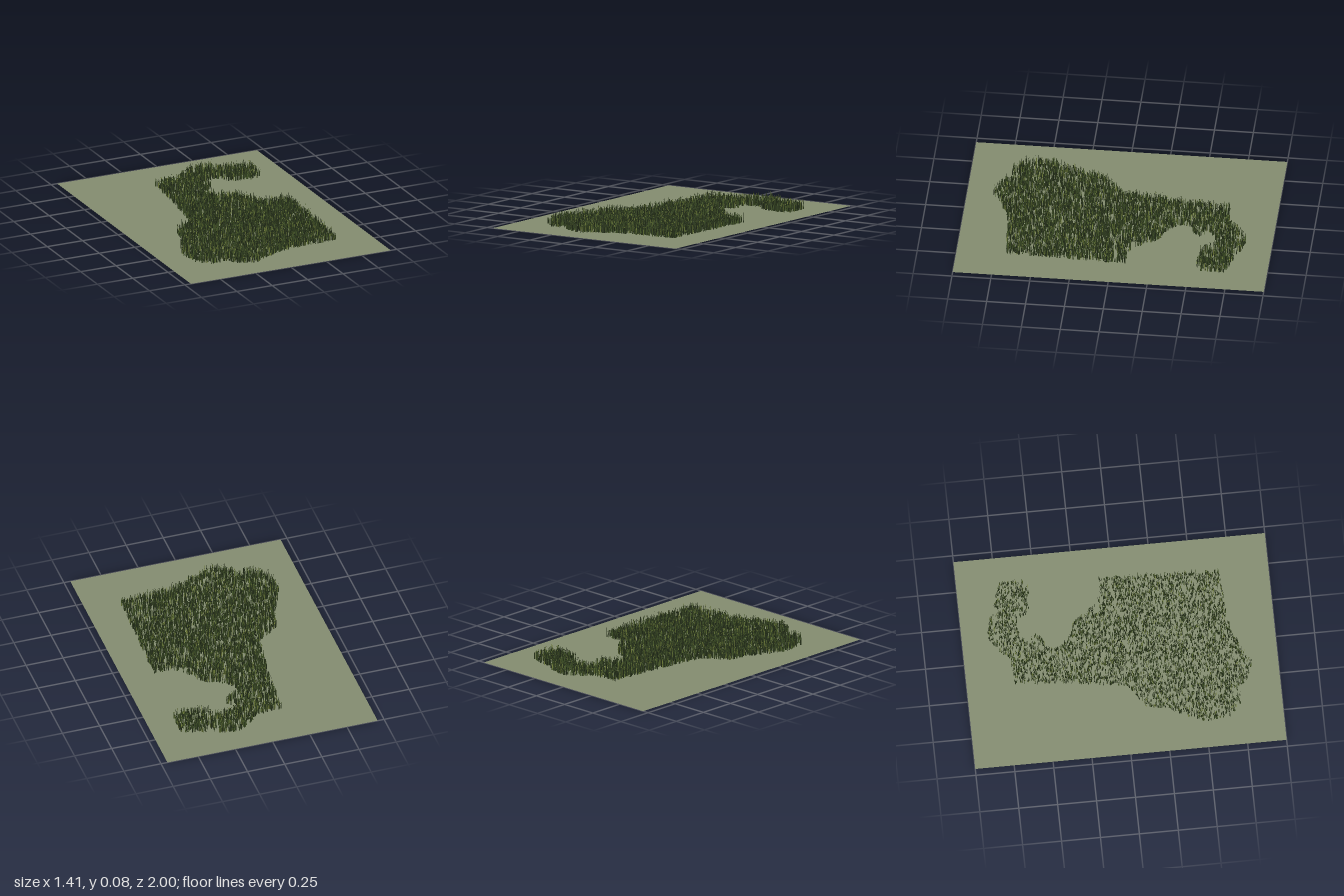
import * as THREE from 'three';

// Outline of the grassy patch as x, z pairs
const OUTLINE = [
  [-0.16, -0.69], [0, -0.7], [0.06, -0.76], [0.16, -0.83], [0.25, -0.83], [0.33, -0.78], [0.43, -0.76],
  [0.53, -0.72], [0.53, -0.54], [0.35, -0.55], [0.3, -0.58], [0.28, -0.64], [0.16, -0.63], [0.11, -0.59],
  [0.16, -0.52], [0.13, -0.49], [0.06, -0.46], [0.05, -0.38], [0.12, -0.32], [0.23, -0.27], [0.28, -0.18],
  [0.38, -0.08], [0.5, -0.09], [0.49, 0.2], [0.475, 0.68], [0.2, 0.7], [0.04, 0.72], [-0.04, 0.77],
  [-0.16, 0.83], [-0.28, 0.79], [-0.32, 0.73], [-0.42, 0.74], [-0.51, 0.66], [-0.535, 0.5], [-0.48, 0.37],
  [-0.43, 0.28], [-0.39, 0.12], [-0.24, 0.02], [-0.21, -0.2], [-0.18, -0.4],
];

function seeded(seed) {
  return () => {
    seed = (seed * 1664525 + 1013904223) % 4294967296;
    return seed / 4294967296;
  };
}

function insideOutline(x, z) {
  let inside = false;
  OUTLINE.forEach(([ax, az], i) => {
    const [bx, bz] = OUTLINE[(i + 1) % OUTLINE.length];
    if ((az > z) !== (bz > z) && x < ax + ((z - az) / (bz - az)) * (bx - ax)) inside = !inside;
  });
  return inside;
}

// One tapered, bent blade: two pairs of points and a tip
function addBlade(target, x, z, angle, height, width, lean) {
  const c = Math.cos(angle), s = Math.sin(angle);
  const first = target.positions.length / 3;
  const put = (side, up, bend) =>
    target.positions.push(x + c * side - s * bend, up, z + s * side + c * bend);
  put(-width / 2, 0, 0);
  put(width / 2, 0, 0);
  put(-width * 0.36, height * 0.55, lean * 0.3);
  put(width * 0.36, height * 0.55, lean * 0.3);
  put(0, height, lean);
  for (const i of [0, 1, 3, 0, 3, 2, 2, 3, 4]) target.indices.push(first + i);
}

export function createModel() {
  const model = new THREE.Group();

  // Flat ground sheet
  const ground = new THREE.Mesh(
    new THREE.PlaneGeometry(1.414, 2).rotateX(-Math.PI / 2),
    new THREE.MeshStandardMaterial({ color: 0x848c70, side: THREE.DoubleSide })
  );
  ground.name = 'ground';
  model.add(ground);

  // Grass in three shades, scattered as small tufts
  const shades = [
    { name: 'darkGrass', color: 0x2e3b20, positions: [], indices: [] },
    { name: 'midGrass', color: 0x465a2a, positions: [], indices: [] },
    { name: 'lightGrass', color: 0x7d8c40, positions: [], indices: [] },
  ];
  const random = seeded(71);
  for (let tufts = 0; tufts < 5600;) {
    const x = (random() - 0.5) * 1.1;
    const z = (random() - 0.5) * 1.7;
    if (!insideOutline(x, z)) continue;
    tufts++;
    const turn = random() * Math.PI * 2;
    const tall = 0.05 + random() * 0.026;
    for (let k = 0; k < 3; k++) {
      const pick = random();
      addBlade(
        shades[pick < 0.55 ? 0 : pick < 0.9 ? 1 : 2],
        x + (random() - 0.5) * 0.008,
        z + (random() - 0.5) * 0.008,
        turn + (k * Math.PI * 2) / 3 + random() * 0.6,
        tall * (k === 0 ? 1 : 0.6 + random() * 0.35),
        0.004 + random() * 0.002,
        0.002 + random() * 0.006
      );
    }
  }

  const grass = new THREE.Group();
  grass.name = 'grass';
  for (const { name, color, positions, indices } of shades) {
    const geometry = new THREE.BufferGeometry();
    geometry.setAttribute('position', new THREE.Float32BufferAttribute(positions, 3));
    geometry.setIndex(indices);
    geometry.computeVertexNormals();
    const mesh = new THREE.Mesh(
      geometry,
      new THREE.MeshStandardMaterial({ color, side: THREE.DoubleSide })
    );
    mesh.name = name;
    grass.add(mesh);
  }
  model.add(grass);
  return model;
}
